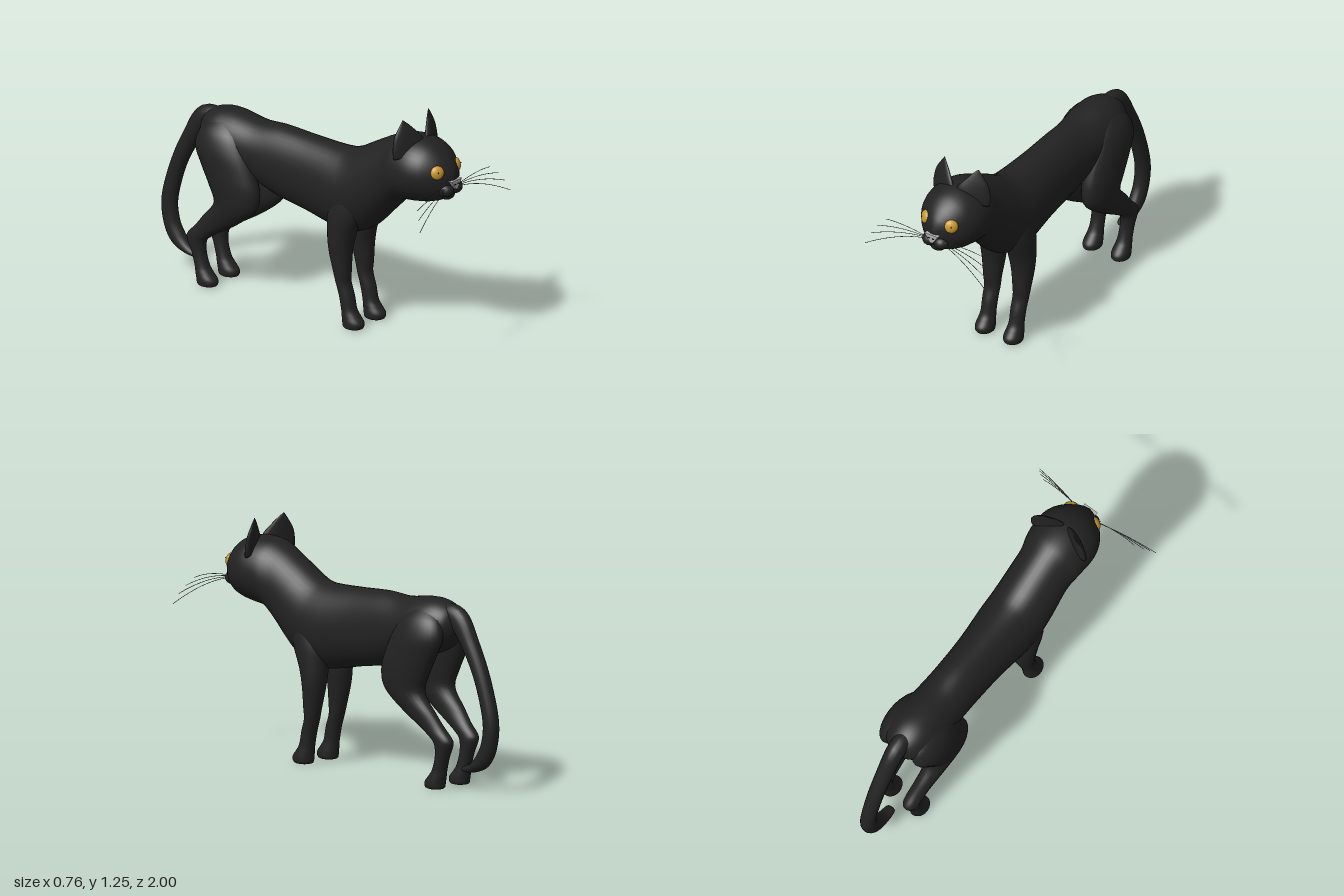
import * as THREE from 'three';

const mat = (name, color, side = THREE.FrontSide) => {
  const m = new THREE.MeshStandardMaterial({ color, side });
  m.name = name;
  return m;
};

// Smoothly interpolates rows of numbers into n + 1 rows
function smoothRows(rows, n) {
  const cr = (a, b, c, d, t) => b + 0.5 * t * (c - a + t * (2 * a - 5 * b + 4 * c - d + t * (3 * (b - c) + d - a)));
  const at = i => rows[Math.min(rows.length - 1, Math.max(0, i))];
  return Array.from({ length: n + 1 }, (_, k) => {
    const f = k / n * (rows.length - 1), i = Math.min(Math.floor(f), rows.length - 2), t = f - i;
    return rows[i].map((_, j) => cr(at(i - 1)[j], at(i)[j], at(i + 1)[j], at(i + 2)[j], t));
  });
}

// Skins elliptical rings { c: centre, u, v: half axes } and closes both ends
function loft(rings, seg = 28) {
  const pos = [], idx = [], n = rings.length;
  for (const { c, u, v } of rings)
    for (let j = 0; j < seg; j++) {
      const a = j / seg * Math.PI * 2, p = Math.cos(a), q = Math.sin(a);
      for (let k = 0; k < 3; k++) pos.push(c[k] + u[k] * p + v[k] * q);
    }
  pos.push(...rings[0].c, ...rings[n - 1].c);
  for (let j = 0; j < seg; j++) {
    const m = (j + 1) % seg, e = (n - 1) * seg;
    for (let i = 0; i < n - 1; i++) {
      const a = i * seg + j, b = i * seg + m;
      idx.push(a, b, b + seg, a, b + seg, a + seg);
    }
    idx.push(n * seg, m, j, n * seg + 1, e + j, e + m);
  }
  // Turn the faces outward when the enclosed volume is negative
  let volume = 0;
  const P = i => new THREE.Vector3().fromArray(pos, i * 3);
  for (let i = 0; i < idx.length; i += 3) volume += P(idx[i]).dot(P(idx[i + 1]).cross(P(idx[i + 2])));
  if (volume < 0) idx.reverse();
  const g = new THREE.BufferGeometry();
  g.setAttribute('position', new THREE.Float32BufferAttribute(pos, 3));
  g.setIndex(idx);
  g.computeVertexNormals();
  return g;
}

export function createModel() {
  const cat = new THREE.Group();
  cat.name = 'cat';
  const fur = mat('black fur', 0x222222);
  const gold = mat('golden eye', 0xc8962c);
  const black = mat('pupil black', 0x0c0c0c);
  const noseGrey = mat('nose grey', 0xb0b0b0);
  const whiskerGrey = mat('whisker grey', 0x777777);
  const add = (name, geometry, material, p = [0, 0, 0], s = [1, 1, 1]) => {
    const m = new THREE.Mesh(geometry, material);
    m.name = name;
    m.position.set(...p);
    m.scale.set(...s);
    cat.add(m);
    return m;
  };
  const ball = new THREE.SphereGeometry(1, 24, 16);

  // Head, neck and trunk: z, top, bottom, half width
  const trunk = [
    [0.932, 0.975, 0.93, 0.012], [0.92, 1.01, 0.895, 0.042], [0.9, 1.045, 0.86, 0.077],
    [0.86, 1.09, 0.832, 0.122], [0.8, 1.13, 0.81, 0.162], [0.72, 1.15, 0.795, 0.18],
    [0.62, 1.145, 0.775, 0.172], [0.54, 1.115, 0.7, 0.156], [0.41, 1.045, 0.57, 0.16],
    [0.3, 0.985, 0.515, 0.162], [0.2, 0.965, 0.51, 0.16], [0, 0.97, 0.55, 0.14],
    [-0.2, 0.98, 0.587, 0.134], [-0.35, 0.973, 0.64, 0.138], [-0.5, 0.993, 0.68, 0.145],
    [-0.6, 0.99, 0.71, 0.135], [-0.68, 0.955, 0.76, 0.095], [-0.715, 0.9, 0.82, 0.04],
  ];
  add('body', loft(smoothRows(trunk, 90).map(([z, t, b, w]) =>
    ({ c: [0, (t + b) / 2, z], u: [w, 0, 0], v: [0, (t - b) / 2, 0] })), 40), fur);

  // Tail: y, z, half width, half depth
  const tail = smoothRows([
    [0.92, -0.58, 0.05, 0.04], [0.905, -0.71, 0.05, 0.062], [0.77, -0.81, 0.045, 0.05],
    [0.6, -0.895, 0.042, 0.045], [0.4, -0.953, 0.04, 0.046], [0.27, -0.945, 0.04, 0.046],
    [0.18, -0.9, 0.04, 0.045], [0.13, -0.83, 0.035, 0.027], [0.113, -0.765, 0.026, 0.014],
    [0.113, -0.752, 0.006, 0.004],
  ], 54);
  add('tail', loft(tail.map(([y, z, w, d], i) => {
    const a = tail[Math.max(0, i - 1)], b = tail[Math.min(tail.length - 1, i + 1)];
    const dy = b[0] - a[0], dz = b[1] - a[1], l = Math.hypot(dy, dz);
    return { c: [0, y, z], u: [w, 0, 0], v: [0, -dz / l * d, dy / l * d] };
  }), 20), fur);

  // Legs: y, centre x, centre z, half width, half depth
  const frontLeg = [
    [0.004, 0.09, 0.33, 0.03, 0.035], [0.012, 0.09, 0.33, 0.047, 0.057], [0.04, 0.09, 0.33, 0.05, 0.063],
    [0.075, 0.09, 0.315, 0.045, 0.052], [0.11, 0.09, 0.302, 0.041, 0.043], [0.18, 0.09, 0.287, 0.042, 0.042],
    [0.25, 0.091, 0.266, 0.045, 0.04], [0.31, 0.093, 0.26, 0.05, 0.049], [0.42, 0.093, 0.25, 0.063, 0.064],
    [0.52, 0.09, 0.255, 0.073, 0.08], [0.65, 0.095, 0.28, 0.071, 0.1], [0.78, 0.09, 0.3, 0.055, 0.08],
    [0.86, 0.08, 0.3, 0.02, 0.03],
  ];
  const hindLeg = [
    [0.004, 0.09, -0.635, 0.03, 0.035], [0.012, 0.09, -0.635, 0.046, 0.057], [0.04, 0.09, -0.637, 0.049, 0.061],
    [0.075, 0.09, -0.655, 0.044, 0.05], [0.11, 0.09, -0.67, 0.039, 0.041], [0.18, 0.091, -0.69, 0.038, 0.041],
    [0.245, 0.093, -0.702, 0.042, 0.058], [0.28, 0.095, -0.682, 0.043, 0.072], [0.33, 0.098, -0.62, 0.045, 0.085],
    [0.4, 0.105, -0.535, 0.053, 0.112], [0.5, 0.11, -0.435, 0.068, 0.133], [0.6, 0.112, -0.44, 0.078, 0.16],
    [0.7, 0.111, -0.48, 0.081, 0.17], [0.8, 0.106, -0.525, 0.081, 0.168], [0.89, 0.088, -0.54, 0.069, 0.13],
    [0.95, 0.07, -0.54, 0.03, 0.06],
  ];
  // Ear edges: inner xyz, outer xyz, thickness
  const ear = [
    [0.0, 1.125, 0.735, 0.177, 1.055, 0.668, 0.03], [0.022, 1.163, 0.725, 0.18, 1.1, 0.664, 0.025],
    [0.052, 1.2, 0.706, 0.167, 1.165, 0.662, 0.018], [0.08, 1.232, 0.688, 0.138, 1.215, 0.666, 0.01],
    [0.106, 1.257, 0.672, 0.11, 1.256, 0.671, 0.002],
  ];
  const tips = [[0.38, 0.795, 1.0], [0.362, 0.85, 0.975], [0.34, 0.892, 0.95], [0.3, 0.932, 0.925]];

  for (const [side, s] of [['left', 1], ['right', -1]]) {
    for (const [name, rows] of [['FrontLeg', frontLeg], ['HindLeg', hindLeg]])
      add(side + name, loft(smoothRows(rows, 64).map(([y, x, z, w, d]) =>
        ({ c: [x * s, y, z], u: [w, 0, 0], v: [0, 0, d] }))), fur);

    add(side + 'Ear', loft(smoothRows(ear, 20).map(([a, b, c, d, e, f, t]) => ({
      c: [(a + d) / 2 * s, (b + e) / 2, (c + f) / 2],
      u: [(d - a) / 2 * s, (e - b) / 2, (f - c) / 2],
      v: [0, 0, t],
    })), 20), fur);

    // Eye turned to follow the face, with a tiny pupil
    const eye = add(side + 'Eye', ball, gold, [0.081 * s, 1.006, 0.878], [0.037, 0.037, 0.022]);
    eye.rotation.set(-0.25, 0.6 * s, 0, 'YXZ');
    add(side + 'Pupil', ball, black, [0.094 * s, 1.013, 0.897], [0.003, 0.003, 0.003]);

    // Muzzle and whiskers
    add(side + 'Muzzle', ball, fur, [0.036 * s, 0.902, 0.902], [0.042, 0.036, 0.042]);
    tips.forEach(([x, y, z], i) => {
      const root = new THREE.Vector3((0.064 + 0.004 * (i % 2)) * s, 0.9 + i * 0.006, 0.916);
      const mid = new THREE.Vector3(0.2 * s, 0.897 + i * 0.018, 0.955 - i * 0.008);
      const curve = new THREE.QuadraticBezierCurve3(root, mid, new THREE.Vector3(x * s, y, z));
      add(side + 'Whisker', new THREE.TubeGeometry(curve, 16, 0.0016, 5), whiskerGrey);
      add(side + 'WhiskerRoot', ball, whiskerGrey, root.toArray(), [0.007, 0.004, 0.006]);
    });
  }

  // Chin and triangular nose with nostrils
  add('chin', ball, fur, [0, 0.866, 0.882], [0.045, 0.03, 0.036]);
  const tri = new THREE.Shape([[-0.042, 0.957], [-0.008, 0.908], [0.008, 0.908], [0.042, 0.957]]
    .map(p => new THREE.Vector2(...p)));
  add('nose', new THREE.ExtrudeGeometry(tri, { depth: 0.03, bevelEnabled: false }), noseGrey, [0, 0, 0.915]);
  for (const s of [1, -1])
    add('nostril', new THREE.BoxGeometry(0.014, 0.005, 0.004), black, [0.013 * s, 0.936, 0.945]);

  return cat;
}
